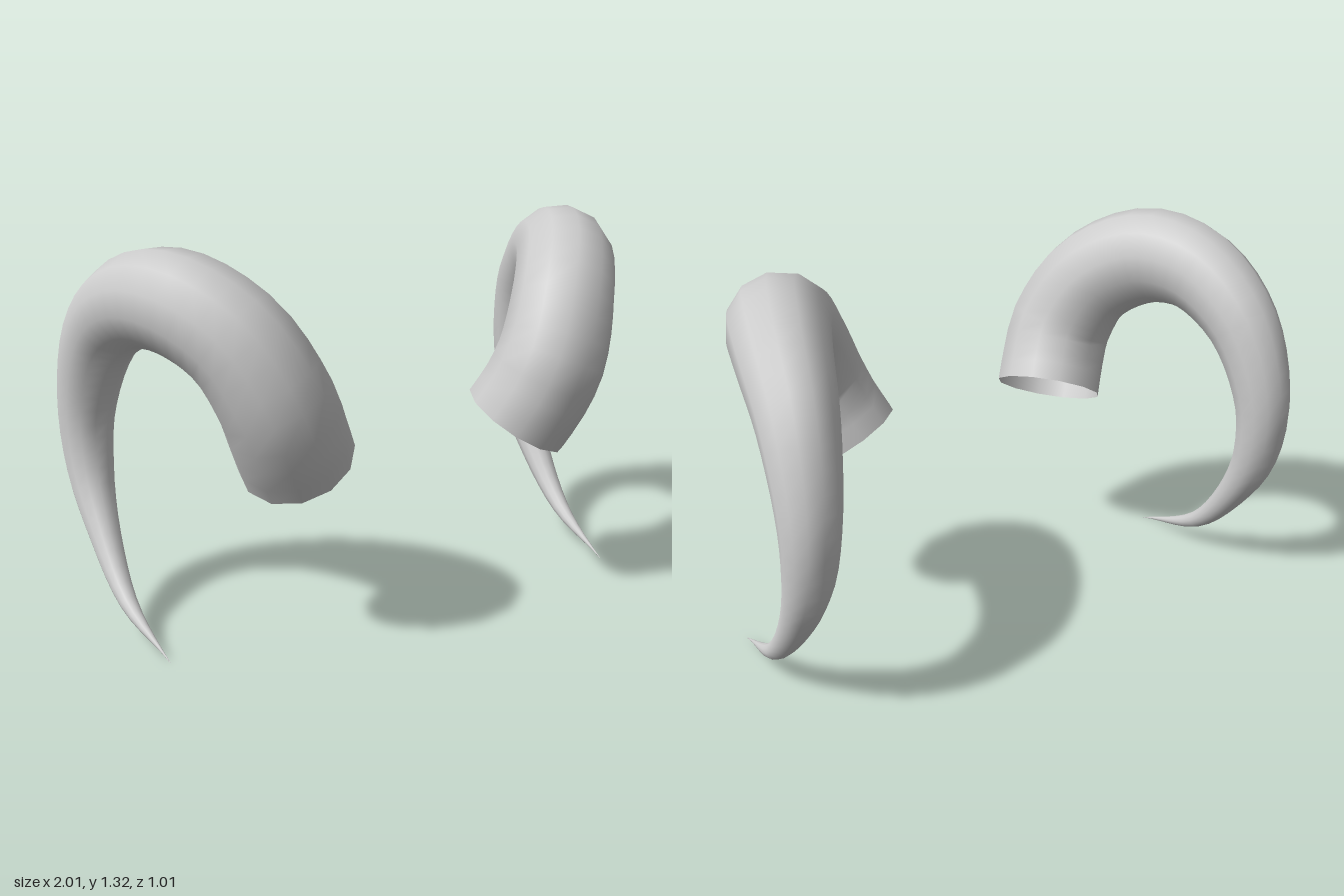
import * as THREE from 'three';

// Centre line of the left horn from base to tip: x, y, z, radius
const STATIONS = [
  [0.43, 0.645, 0.255, 0.193],
  [0.48, 0.75, 0.295, 0.192],
  [0.53, 0.87, 0.313, 0.19],
  [0.62, 1.05, 0.246, 0.181],
  [0.74, 1.155, 0.08, 0.173],
  [0.82, 1.135, -0.11, 0.155],
  [0.872, 0.985, -0.3, 0.129],
  [0.9, 0.72, -0.403, 0.101],
  [0.905, 0.5, -0.385, 0.082],
  [0.905, 0.31, -0.285, 0.057],
  [0.9, 0.11, -0.09, 0.031],
  [0.873, 0.004, 0.203, 0.0008],
];
const SEGMENTS = 40;
const SIDES = 12;

// Tapered tube along the centre line; side is 1 for left, -1 for right
function createHorn(side) {
  const curve = new THREE.CatmullRomCurve3(
    STATIONS.map(([x, y, z]) => new THREE.Vector3(side * x, y, z)));
  const radii = new THREE.SplineCurve(STATIONS.map((s, i) => new THREE.Vector2(i, s[3])));
  const geometry = new THREE.TubeGeometry(curve, SEGMENTS, 1, SIDES);
  const position = geometry.attributes.position;
  const v = new THREE.Vector3();

  // Shrink every ring about its centre to the local radius
  for (let i = 0; i <= SEGMENTS; i++) {
    const t = curve.getUtoTmapping(i / SEGMENTS);
    const centre = curve.getPoint(t);
    const radius = Math.max(radii.getPoint(t).y, 0.0005);
    for (let j = 0; j <= SIDES; j++) {
      const k = i * (SIDES + 1) + j;
      v.fromBufferAttribute(position, k).sub(centre).multiplyScalar(radius).add(centre);
      position.setXYZ(k, v.x, v.y, v.z);
    }
  }

  // The base is open, so the inside shows
  const material = new THREE.MeshStandardMaterial({ color: 0xcccccc, side: THREE.DoubleSide });
  const horn = new THREE.Mesh(geometry, material);
  horn.name = side > 0 ? 'leftHorn' : 'rightHorn';
  return horn;
}

export function createModel() {
  const model = new THREE.Group();
  model.name = 'horns';
  for (const side of [1, -1]) model.add(createHorn(side));
  return model;
}
